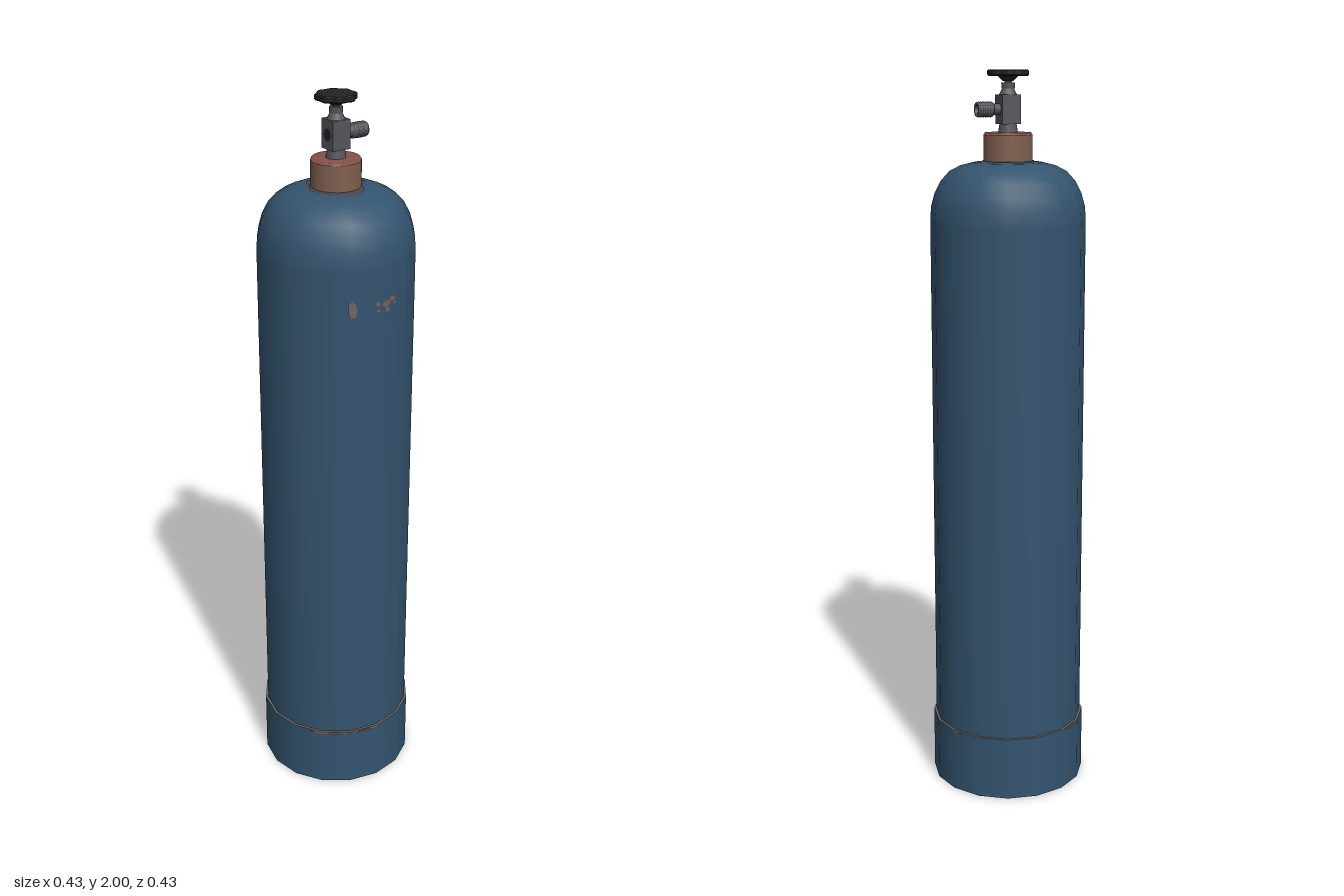
import * as THREE from 'three';

const mat = (name, color) => {
  const m = new THREE.MeshStandardMaterial({ color });
  m.name = name;
  return m;
};

export function createModel() {
  const group = new THREE.Group();
  const blue = mat('blue paint', 0x34546f);
  const rust = mat('rust brown', 0x80604f);
  const red = mat('worn red primer', 0x85504a);
  const bare = mat('bare edge', 0x6f6561);
  const metal = mat('valve metal', 0x55565c);
  const black = mat('black plastic', 0x222222);
  const stain = mat('faded stain', 0x49474e);

  const add = (name, geo, material, x = 0, y = 0, z = 0) => {
    const m = new THREE.Mesh(geo, material);
    m.name = name;
    m.position.set(x, y, z);
    group.add(m);
    return m;
  };
  const lathe = (name, pts, material, sides = 16) =>
    add(name, new THREE.LatheGeometry(pts.map(p => new THREE.Vector2(...p)), sides), material);

  // Tank wall and rounded shoulder
  const dome = [[0.21, 1.61], [0.207, 1.645], [0.197, 1.68], [0.18, 1.712],
    [0.157, 1.737], [0.128, 1.752], [0.095, 1.76], [0.05, 1.763]];
  lathe('tankWall', [[0.21, 0.17], [0.21, 1.6], ...dome], blue);

  // Hollow foot ring, each face separate for crisp edges
  lathe('footOuter', [[0.217, 0], [0.217, 0.18]], blue);
  lathe('footTopEdge', [[0.217, 0.18], [0.205, 0.18]], bare);
  lathe('footUnderside', [[0.165, 0], [0.217, 0]], blue);
  lathe('footInner', [[0.165, 0.11], [0.165, 0]], rust);
  lathe('tankBottom', [[0, 0.09], [0.08, 0.095], [0.165, 0.11]], blue);

  // Chipped paint along the foot's upper edge
  for (const [start, length] of [[-0.95, 0.5], [-0.35, 0.35], [1.5, 0.12], [1.95, 0.15], [3.6, 0.3]]) {
    const pts = [new THREE.Vector2(0.2178, 0.175), new THREE.Vector2(0.2178, 0.181)];
    add('footChip', new THREE.LatheGeometry(pts, 4, start, length), rust);
  }

  // Irregular stain lying on the shoulder around the collar
  const domeY = r => {
    for (let i = dome.length - 1; i > 0; i--) {
      const [r0, y0] = dome[i], [r1, y1] = dome[i - 1];
      if (r <= r1) return y0 + (y1 - y0) * (r - r0) / (r1 - r0);
    }
    return dome[0][1];
  };
  const reach = [0.088, 0.066, 0.08, 0.092, 0.086, 0.082, 0.078, 0.068, 0.085, 0.094, 0.086, 0.1];
  const blob = new THREE.RingGeometry(1, 2, 48, 3);
  const bp = blob.attributes.position;
  for (let i = 0; i < bp.count; i++) {
    const x = bp.getX(i), y = bp.getY(i);
    const turn = ((Math.atan2(-y, x) / (2 * Math.PI) + 1) % 1) * 12;
    const k = Math.floor(turn) % 12, f = turn % 1, s = f * f * (3 - 2 * f);
    const outer = reach[k] * (1 - s) + reach[(k + 1) % 12] * s;
    const t = Math.hypot(x, y), r = 0.06 + (t - 1) * (outer - 0.06);
    bp.setXYZ(i, x / t * r, domeY(r) + 0.002, -y / t * r);
  }
  blob.computeVertexNormals();
  add('shoulderStain', blob, stain);

  // Small paint chips on the front of the wall
  const chips = [[-0.08, 1.5, 0.013, 0.022], [-0.085, 1.515, 0.009, 0.011], [0.015, 1.505, 0.014, 0.009],
    [-0.012, 1.508, 0.007, 0.006], [0.036, 1.513, 0.01, 0.007], [0.02, 1.488, 0.007, 0.008],
    [0.045, 1.5, 0.005, 0.004], [0.078, 1.53, 0.004, 0.008], [-0.01, 1.49, 0.005, 0.004]];
  chips.forEach(([x, y, w, h], i) => {
    const c = add('paintChip', new THREE.CircleGeometry(1, 7), i < 2 ? bare : rust,
      x, y, 0.2118 - 0.199 * Math.abs(x));
    c.scale.set(w, h, 1);
    c.rotation.y = Math.sign(x) * Math.PI / 16;
  });

  // Neck collar
  lathe('collarWall', [[0.066, 1.755], [0.066, 1.832]], rust, 24);
  lathe('collarTop', [[0.066, 1.832], [0.062, 1.838], [0, 1.838]], red, 24);

  // Valve body
  const cyl = (name, r0, r1, h, y, sides = 16, m = metal) =>
    add(name, new THREE.CylinderGeometry(r0, r1, h, sides), m, 0, y, 0);
  cyl('valveNeck', 0.022, 0.027, 0.03, 1.85);
  add('valveBlock', new THREE.BoxGeometry(0.052, 0.076, 0.052), metal, 0, 1.898, 0);
  cyl('valveBonnet', 0.015, 0.024, 0.018, 1.944);
  cyl('valveNut', 0.018, 0.018, 0.016, 1.959, 6);
  cyl('valveStem', 0.01, 0.01, 0.03, 1.975, 12);

  // Threaded side outlet pointing along +x
  const outlet = [[0.015, 0.02], [0.015, 0.046], [0.019, 0.046]];
  for (let i = 0; i < 6; i++) {
    const s = 0.047 + i * 0.007;
    outlet.push([0.0205, s + 0.002], [0.0205, s + 0.004], [0.0185, s + 0.006]);
  }
  outlet.push([0.0185, 0.09], [0.012, 0.09], [0.012, 0.06]);
  const pipe = lathe('outlet', outlet, metal);
  pipe.rotation.z = -Math.PI / 2;
  pipe.position.y = 1.898;
  for (const [side, x] of [[1, 0.061], [-1, -0.0265]]) {
    const d = add(side > 0 ? 'outletBore' : 'blockPlug', new THREE.CircleGeometry(side > 0 ? 0.012 : 0.016, 16),
      black, x, 1.898, 0);
    d.rotation.y = side * Math.PI / 2;
  }

  // Scalloped handwheel
  const wheel = new THREE.Shape();
  for (let i = 0; i < 64; i++) {
    const a = i / 64 * Math.PI * 2;
    const r = 0.0495 + 0.0025 * Math.cos(8 * a + Math.PI);
    wheel[i ? 'lineTo' : 'moveTo'](r * Math.cos(a), r * Math.sin(a));
  }
  const wheelGeo = new THREE.ExtrudeGeometry(wheel, {
    depth: 0.01, bevelEnabled: true, bevelSize: 0.003, bevelThickness: 0.003, bevelSegments: 1,
  });
  wheelGeo.rotateX(-Math.PI / 2);
  add('handwheel', wheelGeo, black, 0, 1.987, 0);
  cyl('handwheelHub', 0.028, 0.014, 0.014, 1.978, 16, black);

  return group;
}
